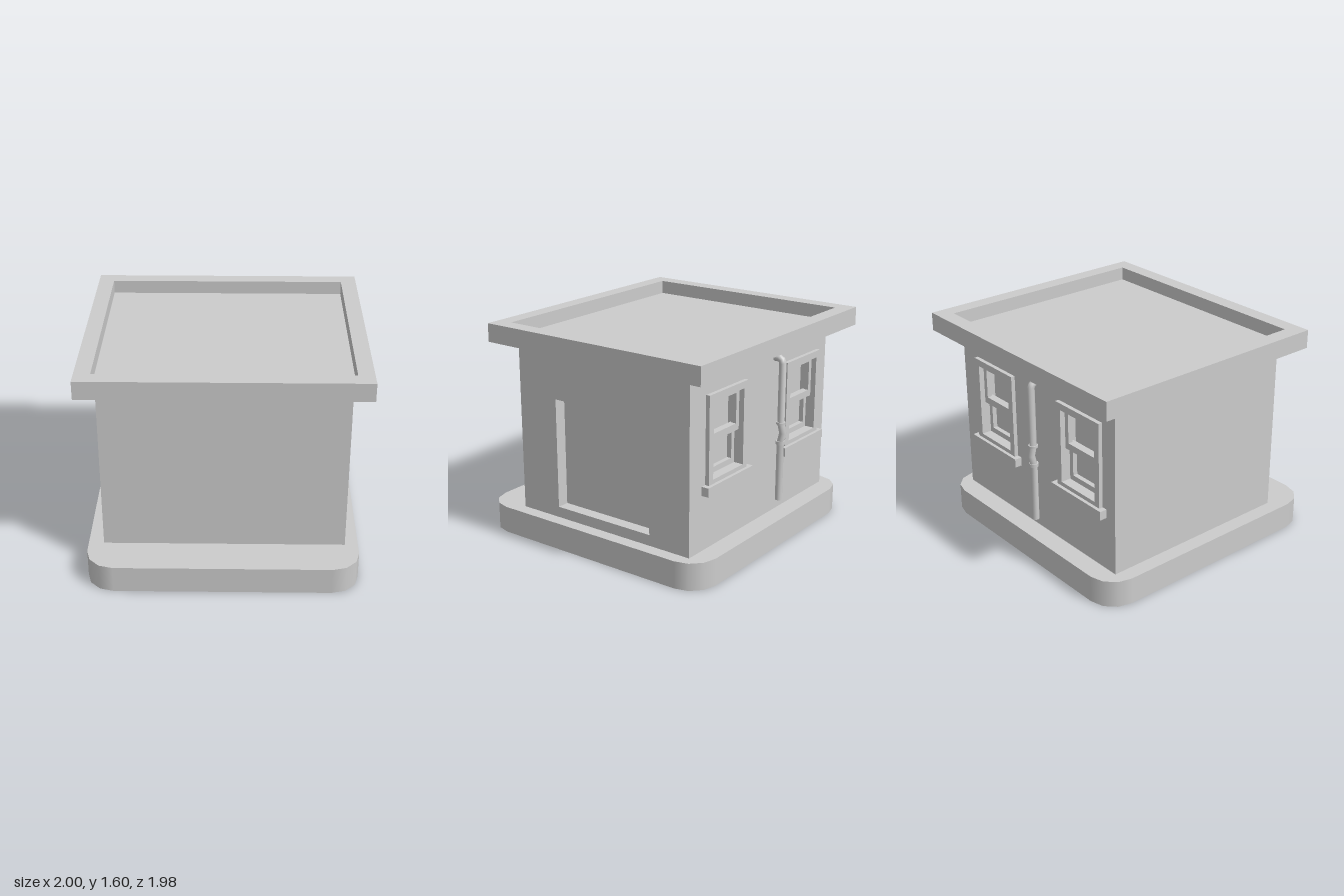
import * as THREE from 'three';

const grey = new THREE.MeshStandardMaterial({ color: 0xcccccc });
const greyDouble = new THREE.MeshStandardMaterial({ color: 0xcccccc, side: THREE.DoubleSide });

function add(parent, name, geometry, material = grey) {
  const mesh = new THREE.Mesh(geometry, material);
  mesh.name = name;
  parent.add(mesh);
  return mesh;
}

// Box given by its limits on each axis
function block(parent, name, x0, x1, y0, y1, z0, z1) {
  const geometry = new THREE.BoxGeometry(x1 - x0, y1 - y0, z1 - z0);
  geometry.translate((x0 + x1) / 2, (y0 + y1) / 2, (z0 + z1) / 2);
  return add(parent, name, geometry);
}

function rectangle(Type, x0, x1, y0, y1) {
  return new Type([[x0, y0], [x1, y0], [x1, y1], [x0, y1]].map(p => new THREE.Vector2(...p)));
}

// Flat panel with rectangular holes, extruded along +z from 0
function panel(outer, holes, depth) {
  const shape = rectangle(THREE.Shape, ...outer);
  holes.forEach(h => shape.holes.push(rectangle(THREE.Path, ...h)));
  return new THREE.ExtrudeGeometry(shape, { depth, bevelEnabled: false });
}

// Plinth with rounded corners: a skirt and a top, open underneath
function makeBase() {
  const base = new THREE.Group();
  base.name = 'base';
  const r = 0.2, h = 0.2, cx = -0.0075, cz = 0.0125, half = 0.9725 - r;
  const pos = [], nor = [], index = [], outline = [];
  const corners = [[1, 1], [-1, 1], [-1, -1], [1, -1]];
  corners.forEach(([sx, sz], k) => {
    for (let i = 0; i <= 3; i++) {
      const a = (k + i / 3) * Math.PI / 2;
      const x = cx + sx * half + r * Math.cos(a), z = cz + sz * half + r * Math.sin(a);
      outline.push(new THREE.Vector2(x, -z));
      for (const y of [0, h]) {
        pos.push(x, y, z);
        nor.push(Math.cos(a), 0, Math.sin(a));
      }
    }
  });
  const n = outline.length;
  for (let i = 0; i < n; i++) {
    const a = 2 * i, b = 2 * ((i + 1) % n);
    index.push(a, a + 1, b, b, a + 1, b + 1);
  }
  const skirt = new THREE.BufferGeometry();
  skirt.setAttribute('position', new THREE.Float32BufferAttribute(pos, 3));
  skirt.setAttribute('normal', new THREE.Float32BufferAttribute(nor, 3));
  skirt.setIndex(index);
  add(base, 'baseSkirt', skirt, greyDouble);
  const top = new THREE.ShapeGeometry(new THREE.Shape(outline)).rotateX(-Math.PI / 2).translate(0, h, 0);
  add(base, 'baseTop', top, greyDouble);
  return base;
}

// Flat roof lofted through rectangles: underside, outer rim, inner rim, sunken floor
function makeRoof() {
  const outer = [-1, 1, -0.99, 0.845], inner = [-0.885, 0.885, -0.875, 0.73];
  const rings = [[outer, 1.46], [outer, 1.595], [inner, 1.595], [inner, 1.495]];
  const pos = [], index = [];
  for (const [[x0, x1, z0, z1], y] of rings) pos.push(x0, y, z1, x1, y, z1, x1, y, z0, x0, y, z0);
  for (let k = 0; k < 3; k++) {
    for (let i = 0; i < 4; i++) {
      const a = 4 * k + i, b = 4 * k + (i + 1) % 4;
      index.push(a, b, b + 4, a, b + 4, a + 4);
    }
  }
  index.push(0, 2, 1, 0, 3, 2, 12, 13, 14, 12, 14, 15);
  const indexed = new THREE.BufferGeometry();
  indexed.setAttribute('position', new THREE.Float32BufferAttribute(pos, 3));
  indexed.setIndex(index);
  const geometry = indexed.toNonIndexed();
  geometry.computeVertexNormals();
  return geometry;
}

// Sash window on the back wall, centred on x
const opening = { half: 0.18, y0: 0.7, y1: 1.25 };
function makeWindow(parent, name, x) {
  const win = new THREE.Group();
  win.name = name;
  win.position.x = x;
  parent.add(win);
  const { half: w, y0, y1 } = opening;
  const framed = (part, outer, hole, z, depth) =>
    add(win, part, panel(outer, [hole], depth)).position.z = z;
  framed('windowFrame', [-0.23, 0.23, 0.66, 1.3], [-w, w, y0, y1], -0.845, 0.03);
  framed('upperSash', [-w, w, 0.95, y1], [-w + 0.035, w - 0.035, 1.0, y1 - 0.03], -0.805, 0.035);
  framed('lowerSash', [-w, w, y0, 0.99], [-w + 0.035, w - 0.035, y0 + 0.04, 0.95], -0.77, 0.035);
  block(win, 'windowSill', -0.27, 0.27, 0.605, 0.67, -0.87, -0.815);
}

// Curve with sharp corners, one tube ring per point
class Polyline extends THREE.Curve {
  constructor(points) {
    super();
    this.points = points;
  }
  getPointAt(u) {
    return this.points[Math.round(u * (this.points.length - 1))].clone();
  }
  getTangentAt(u) {
    const p = this.points, i = Math.round(u * (p.length - 1));
    const t = new THREE.Vector3();
    if (i > 0) t.add(p[i].clone().sub(p[i - 1]).normalize());
    if (i < p.length - 1) t.add(p[i + 1].clone().sub(p[i]).normalize());
    return t.normalize();
  }
}

// Drainpipe with a top elbow, a kink and two collars
function makePipe() {
  const pipe = new THREE.Group();
  pipe.name = 'drainpipe';
  pipe.position.set(-0.1, 0, -0.912);
  const r = 0.026;
  const path = [[0.33, 0], [0.765, 0], [0.84, -0.018], [0.912, 0], [1.35, 0], [1.373, 0.008], [1.385, 0.03], [1.385, 0.062]]
    .map(([y, z]) => new THREE.Vector3(0, y, z));
  add(pipe, 'pipeRun', new THREE.TubeGeometry(new Polyline(path), path.length - 1, r, 12), greyDouble);
  const cap = new THREE.CircleGeometry(r, 12);
  add(pipe, 'pipeBottom', cap.clone().rotateX(Math.PI / 2).translate(0, 0.33, 0));
  add(pipe, 'pipeTopEnd', cap.clone().translate(0, 1.385, 0.062));
  for (const [y, h] of [[0.767, 0.025], [0.912, 0.016]]) {
    add(pipe, 'pipeCollar', new THREE.CylinderGeometry(0.034, 0.034, h, 12).translate(0, y, 0));
  }
  return pipe;
}

export function createModel() {
  const model = new THREE.Group();
  model.name = 'smallBuilding';
  model.add(makeBase());

  // Walls: a solid core, with pierced panels on the back and the left side
  const walls = new THREE.Group();
  walls.name = 'walls';
  model.add(walls);
  const y0 = 0.2, y1 = 1.46, windowXs = [0.46, -0.51];
  block(walls, 'wallCore', -0.87, 0.78, y0, y1, -0.715, 0.68);
  const { half, y0: w0, y1: w1 } = opening;
  const holes = windowXs.map(x => [x - half, x + half, w0, w1]);
  add(walls, 'backWall', panel([-0.87, 0.87, y0, y1], holes, 0.1)).position.z = -0.815;
  const side = panel([-0.68, 0.715, y0, y1], [[-0.345, 0.48, 0.28, 1.095]], 0.09);
  add(walls, 'sideWall', side.rotateY(Math.PI / 2).translate(0.78, 0, 0));

  windowXs.forEach((x, i) => makeWindow(model, i ? 'rightWindow' : 'leftWindow', x));
  model.add(makePipe());
  add(model, 'roof', makeRoof());
  return model;
}
